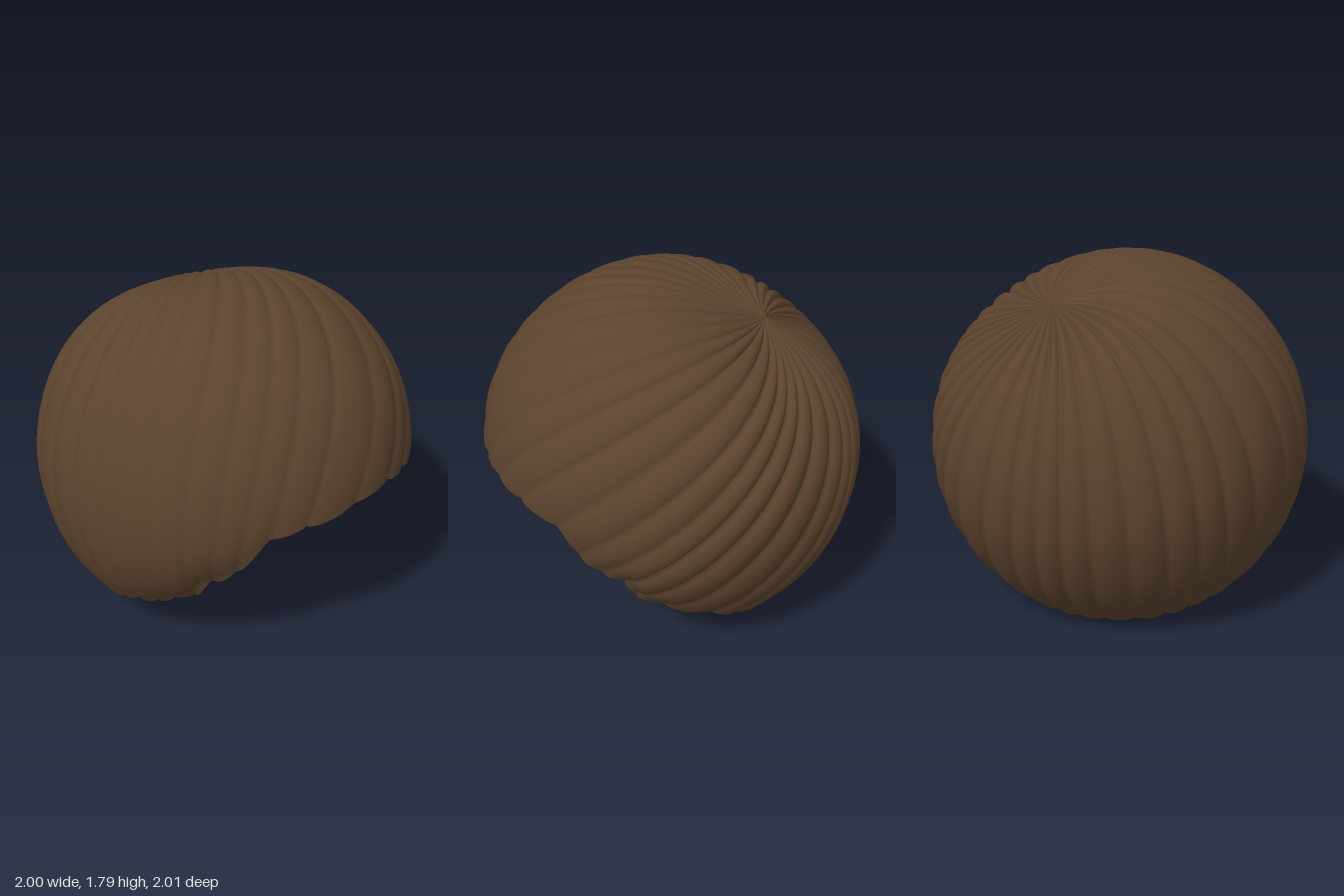
import * as THREE from 'three';

const RIBS = 34, COLS = RIBS * 10, ROWS = 72, TWIST = 0.36;
const CENTRE = new THREE.Vector3(0, 0.81, 0);
const CROWN = new THREE.Vector3(0.24, 0.8, -0.4).normalize();
const BROW = new THREE.Vector3(0, 0.5, 0.87).normalize();

// Hem height against z, from nape to brow
const HEM = [[-1, 0], [-0.6, 0], [-0.36, 0], [-0.31, 0.05], [-0.2, 0.16], [-0.07, 0.21], [0.12, 0.3], [0.2, 0.31],
  [0.44, 0.42], [0.52, 0.56], [0.58, 0.59], [0.68, 0.68], [0.77, 0.83], [0.9, 0.89], [1.1, 0.98]];

function hemHeight(z) {
  for (let i = 1; i < HEM.length; i++) {
    const [z0, y0] = HEM[i - 1], [z1, y1] = HEM[i];
    if (z <= z1) return THREE.MathUtils.lerp(y0, y1, Math.max(0, (z - z0) / (z1 - z0)));
  }
  return 0.98;
}

// Rounded strands with sharp valleys, slightly uneven in width
function strand(theta) {
  const t = theta + 0.05 * Math.sin(3 * theta + 1) + 0.03 * Math.sin(7 * theta);
  return Math.sqrt(Math.abs(Math.sin(t * RIBS / 2)));
}

const bump = (x, width) => Math.exp(-((x / width) ** 2));

const side = new THREE.Vector3(1, 0, 0).cross(CROWN).normalize();
const across = new THREE.Vector3().crossVectors(CROWN, side);

// Point at angle a from the crown on strand theta, which swirls as it falls
function hairPoint(a, theta) {
  const turn = theta - TWIST * a;
  const dir = CROWN.clone().multiplyScalar(Math.cos(a))
    .addScaledVector(side, Math.sin(a) * Math.cos(turn))
    .addScaledVector(across, Math.sin(a) * Math.sin(turn));
  // Strands are softer over the brow and towards the nape
  const soften = (0.8 - 0.3 * Math.cos(turn + 0.4)) * (1 - 0.5 * THREE.MathUtils.smoothstep(a, 0.9, 2));
  const depth = Math.min(0.04, 0.12 * Math.sin(a)) * soften;
  // Hollow at the crown, fullness above the brow
  const shape = 0.03 * bump(dir.angleTo(BROW), 0.5) - 0.1 * bump(a, 0.5) + 0.01 * bump(a, 0.06);
  // The hem curls inward beside the face
  const rise = Math.max(0, dir.y + CENTRE.y - hemHeight(dir.z));
  const curl = 0.065 * Math.exp(-rise / 0.13) * bump(dir.z - 0.44, 0.3);
  const r = 1.003 + shape - curl - depth * (1 - strand(theta));
  return dir.multiplyScalar(r).add(CENTRE);
}

// Follow a strand down until it meets the hem
function hemAngle(theta) {
  const jag = 0.02 * (1 - strand(theta)) + 0.008 * (1 + Math.sin(11 * theta));
  for (let a = 0.4; a < Math.PI; a += 0.003) {
    const p = hairPoint(a, theta);
    if (p.y < hemHeight(p.z) + (p.z > -0.35 ? jag : jag * 0.4)) return a;
  }
  return Math.PI;
}

function hairGeometry() {
  const positions = [], index = [];
  const ends = Array.from({ length: COLS }, (_, j) => hemAngle(j / COLS * Math.PI * 2));
  for (let i = 0; i <= ROWS; i++) {
    const t = (i / ROWS) ** 1.2;
    for (let j = 0; j < COLS; j++) {
      positions.push(...hairPoint(ends[j] * t, j / COLS * Math.PI * 2).toArray());
      if (i === ROWS) continue;
      const k = (j + 1) % COLS;
      const a = i * COLS + j, b = a + COLS, c = (i + 1) * COLS + k, d = i * COLS + k;
      index.push(a, b, c);
      if (i > 0) index.push(a, c, d);
    }
  }
  const geometry = new THREE.BufferGeometry();
  geometry.setAttribute('position', new THREE.Float32BufferAttribute(positions, 3));
  geometry.setIndex(index);
  geometry.computeVertexNormals();
  return geometry;
}

export function createModel() {
  const brown = new THREE.MeshStandardMaterial({ color: 0x5b432d, side: THREE.DoubleSide });
  brown.name = 'brown hair';

  // Open cap of hair swirling out from the crown
  const hair = new THREE.Mesh(hairGeometry(), brown);
  hair.name = 'hairCap';

  const group = new THREE.Group();
  group.name = 'hair';
  group.add(hair);
  return group;
}
